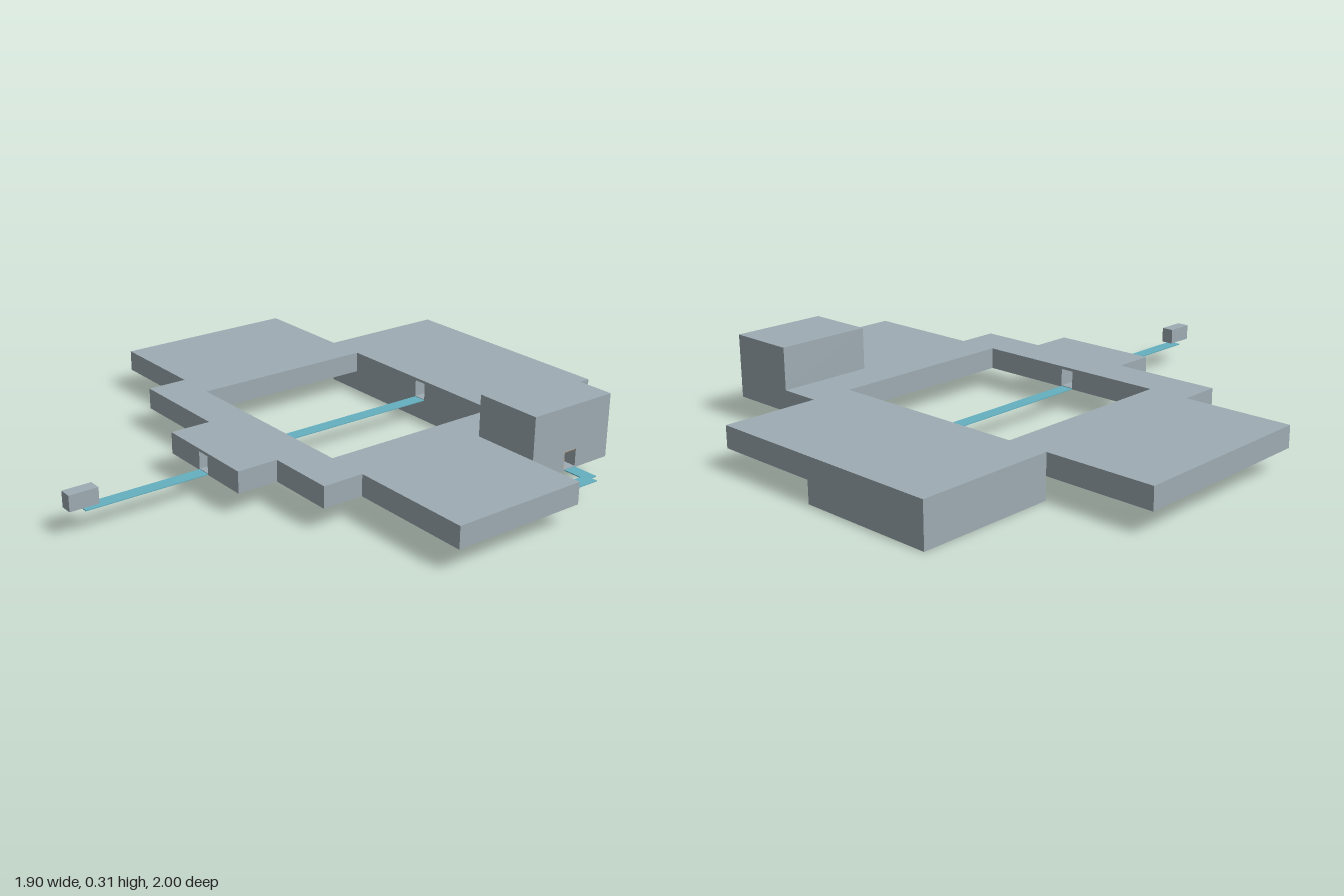
import * as THREE from 'three';

export function createModel() {
  const model = new THREE.Group();
  const stone = new THREE.MeshStandardMaterial({ color: 0x9eacb3 });
  stone.name = 'stone grey';
  const teal = new THREE.MeshStandardMaterial({ color: 0x64b0c0 });
  teal.name = 'path teal';
  const orange = new THREE.MeshStandardMaterial({ color: 0xdea558 });
  orange.name = 'door orange';

  const add = (name, geometry, material) => {
    const mesh = new THREE.Mesh(geometry, material);
    mesh.name = name;
    model.add(mesh);
  };
  // box given by its limits on each axis
  const box = (name, material, [x0, x1], [y0, y1], [z0, z1]) => {
    const g = new THREE.BoxGeometry(x1 - x0, y1 - y0, z1 - z0);
    add(name, g.translate((x0 + x1) / 2, (y0 + y1) / 2, (z0 + z1) / 2), material);
  };
  // plan outline given as [x, z] points, raised from y0 to y1
  const toPoints = (pts) => pts.map(([x, z]) => new THREE.Vector2(x, -z));
  const slab = (name, material, outline, hole, [y0, y1]) => {
    const shape = new THREE.Shape(toPoints(outline));
    // the hole runs against the outline so that its walls face inwards
    if (hole) shape.holes.push(new THREE.Path(toPoints(hole).reverse()));
    const g = new THREE.ExtrudeGeometry(shape, { depth: y1 - y0, bevelEnabled: false });
    add(name, g.rotateX(-Math.PI / 2).translate(0, y0, 0), material);
  };

  const base = 0.078, lintel = 0.145, roof = 0.155;
  // doorway notches, included only in the layer below the lintel
  const outline = (doors) => [
    [-0.55, -1], [0.35, -1], [0.35, -0.65], [0.75, -0.65],
    ...(doors ? [[0.75, -0.5], [0.65, -0.5], [0.65, -0.447], [0.75, -0.447]] : []),
    [0.75, -0.3],
    ...(doors ? [[0.82, -0.3], [0.82, -0.2], [0.87, -0.2], [0.87, -0.3]] : []),
    [0.95, -0.3], [0.95, 0.2], [0.5, 0.2], [0.5, 0.35], [0.25, 0.35], [0.25, 0.5],
    ...(doors ? [[0.072, 0.5], [0.072, 0.4], [0.022, 0.4], [0.022, 0.5]] : []),
    [-0.15, 0.5], [-0.15, 0.35], [-0.55, 0.35], [-0.55, 0.2],
    [-0.95, 0.2], [-0.95, -0.5], [-0.55, -0.5],
  ];
  const courtyard = (doors) => [
    [-0.4, -0.5],
    ...(doors ? [[-0.05, -0.5], [-0.05, -0.6], [0, -0.6], [0, -0.5]] : []),
    [0.347, -0.5], [0.347, 0.2],
    ...(doors ? [[0, 0.2], [0, 0.3], [-0.05, 0.3], [-0.05, 0.2]] : []),
    [-0.4, 0.2],
  ];

  // main floor with open courtyard
  slab('mainFloorWalls', stone, outline(true), courtyard(true), [base, lintel]);
  slab('mainFloorRoof', stone, outline(false), courtyard(false), [lintel, roof]);

  // lower floor under the back wing
  slab('lowerFloor', stone, [
    [-0.55, -1], [-0.05, -1], [-0.05, -0.65], [0.5, -0.65], [0.5, -0.5], [-0.55, -0.5],
  ], null, [0, base]);

  // tower
  box('tower', stone, [0.5, 0.75], [roof, 0.305], [-0.65, -0.3]);

  // doorway floors
  const thin = [base, base + 0.005];
  box('frontDoorFloor', stone, [0.022, 0.072], thin, [0.4, 0.5]);
  box('courtFrontDoorFloor', stone, [-0.05, 0], thin, [0.2, 0.3]);
  box('courtBackDoorFloor', stone, [-0.05, 0], thin, [-0.6, -0.5]);
  box('towerDoorFloor', stone, [0.65, 0.75], thin, [-0.5, -0.447]);
  box('wingDoorFloor', stone, [0.82, 0.87], thin, [-0.3, -0.2]);

  // orange linings inside the two side doorways: end, side and ceiling
  const height = [0.083, lintel], ceiling = [lintel - 0.002, lintel];
  box('towerDoor', orange, [0.65, 0.655], height, [-0.5, -0.447]);
  box('towerDoorSide', orange, [0.65, 0.749], height, [-0.449, -0.447]);
  box('towerDoorCeiling', orange, [0.65, 0.749], ceiling, [-0.5, -0.447]);
  box('towerDoorUnderside', orange, [0.62, 0.68], [base - 0.001, base], [-0.499, -0.447]);
  box('wingDoor', orange, [0.82, 0.87], height, [-0.205, -0.2]);
  box('wingDoorSide', orange, [0.82, 0.822], height, [-0.299, -0.2]);
  box('wingDoorCeiling', orange, [0.82, 0.87], ceiling, [-0.299, -0.2]);

  // paths
  const path = [base, base + 0.003];
  box('courtyardPath', teal, [-0.05, 0], path, [-0.5, 0.2]);
  box('frontPath', teal, [0.022, 0.072], path, [0.5, 0.945]);
  slab('sidePath', teal, [
    [0.75, -0.5], [0.845, -0.5], [0.845, -0.475], [0.87, -0.475],
    [0.87, -0.3], [0.82, -0.3], [0.82, -0.452], [0.75, -0.452],
  ], null, path);

  // small block at the end of the front path
  box('pathEndBlock', stone, [0.026, 0.072], [0.091, 0.147], [0.897, 1]);

  return model;
}
